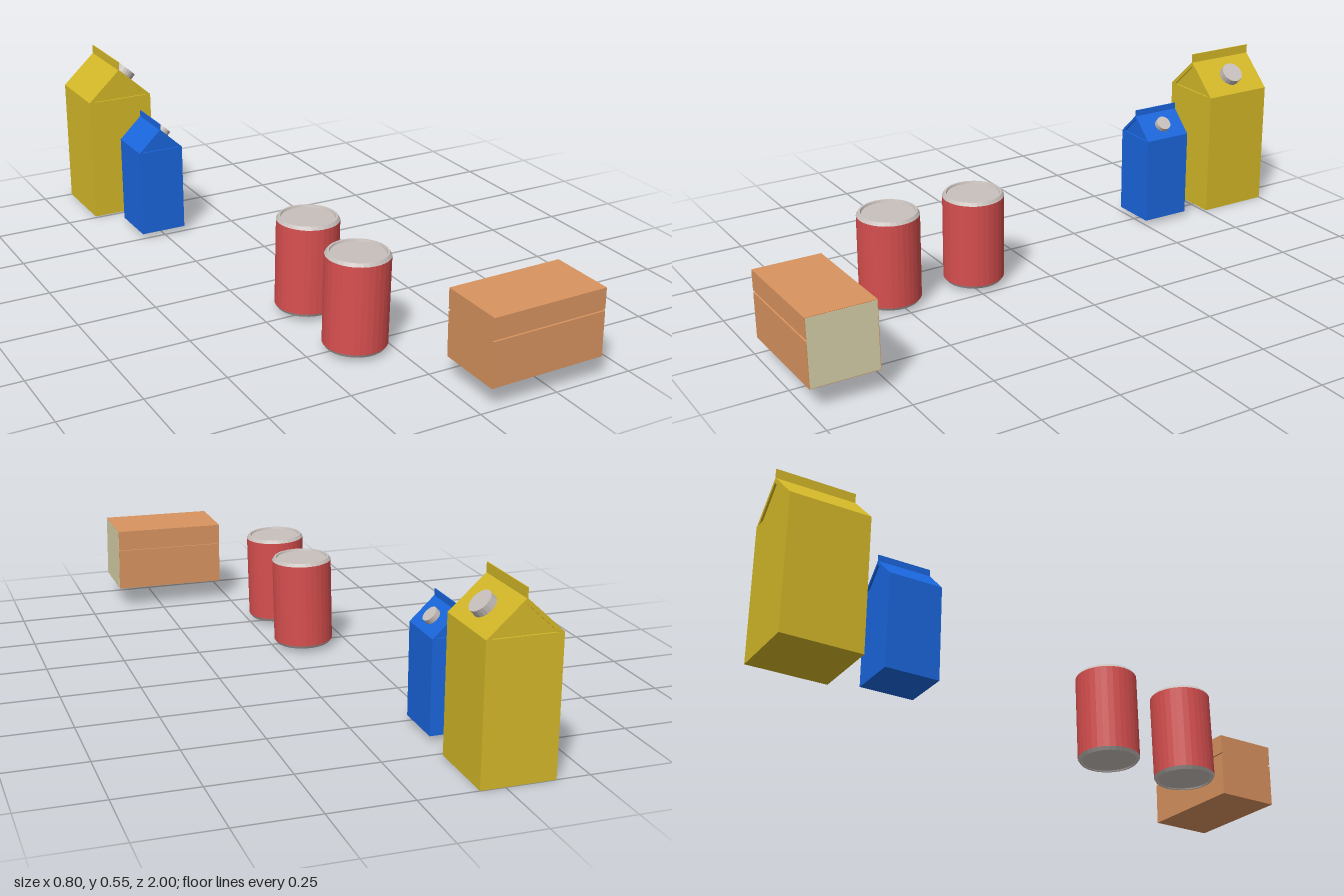
import * as THREE from 'three';

const mat = (color) => new THREE.MeshStandardMaterial({ color, flatShading: true, side: THREE.DoubleSide });
const metal = mat(0xc8c0bc);

function add(parent, name, geometry, material, x = 0, y = 0, z = 0) {
  const mesh = new THREE.Mesh(geometry, material);
  mesh.name = name;
  mesh.position.set(x, y, z);
  parent.add(mesh);
  return mesh;
}

// Extrude a list of [x, y] points, centred along z
function prism(points, depth) {
  const shape = new THREE.Shape(points.map(([x, y]) => new THREE.Vector2(x, y)));
  return new THREE.ExtrudeGeometry(shape, { depth, bevelEnabled: false }).translate(0, 0, -depth / 2);
}

// Gable-top carton: w/d footprint, h wall height, roof rise, fin height, cap radius
function carton(name, color, { w, d, h, rise, fin, cap, capAt }) {
  const g = new THREE.Group();
  g.name = name;
  const m = mat(color), a = w / 2, t = w * 0.08, drop = t * rise / a;
  add(g, 'cartonBody', new THREE.BoxGeometry(w, h, d), m, 0, h / 2, 0);
  // folded-in gable ends under the roof panels
  add(g, 'gable', prism([[-a + t, 0], [a - t, 0], [0, rise - drop]], d - 0.012), m, 0, h, 0);
  add(g, 'roof', prism([[-a, 0], [-a + t, 0], [0, rise - drop], [a - t, 0], [a, 0], [0, rise]], d), m, 0, h, 0);
  add(g, 'topFin', new THREE.BoxGeometry(0.003, fin + 0.01, d), m, 0, h + rise + fin / 2 - 0.005, 0);
  // screw cap standing on the right-hand slope
  const slope = Math.atan2(rise, a), tall = cap * 0.65;
  const normal = new THREE.Vector2(Math.sin(slope), Math.cos(slope)).multiplyScalar(tall / 2);
  const c = add(g, 'screwCap', new THREE.CylinderGeometry(cap, cap, tall, 20), metal,
    a * capAt + normal.x, h + rise * (1 - capAt) + normal.y, 0);
  c.rotation.z = -slope;
  return g;
}

// Food can with chamfered metal ends and a recessed lid
function can() {
  const g = new THREE.Group();
  g.name = 'can';
  const r = 0.096, n = 32;
  const lathe = (pts) => new THREE.LatheGeometry(pts.map(([x, y]) => new THREE.Vector2(x, y)), n);
  add(g, 'canBody', new THREE.CylinderGeometry(r, r, 0.27, n, 1, true), mat(0xd84f4f), 0, 0.145, 0);
  add(g, 'canLid', lathe([[r, 0.28], [0.089, 0.29], [0.083, 0.29], [0.081, 0.284], [0, 0.284]]), metal);
  add(g, 'canBase', lathe([[0, 0.004], [0.083, 0.004], [0.085, 0], [0.089, 0], [r, 0.01]]), metal);
  return g;
}

// Box with a grooved lid line along both long sides and a pale end
function groovedBox() {
  const g = new THREE.Group();
  g.name = 'lyingBox';
  const brown = mat(0xd8935f);
  const w = 0.367, d = 0.21;
  add(g, 'boxBottom', new THREE.BoxGeometry(w, 0.139, d), brown, 0, 0.0695, 0);
  add(g, 'boxCore', new THREE.BoxGeometry(w, 0.03, d - 0.012), brown, 0, 0.142, 0);
  add(g, 'boxTop', new THREE.BoxGeometry(w, 0.063, d), brown, 0, 0.1775, 0);
  add(g, 'paleEnd', new THREE.BoxGeometry(0.002, 0.205, d - 0.004), mat(0xd8d2aa), w / 2, 0.1045, 0);
  return g;
}

export function createModel() {
  const model = new THREE.Group();
  model.name = 'groceries';

  const large = carton('largeCarton', 0xd4b828,
    { w: 0.222, d: 0.24, h: 0.415, rise: 0.102, fin: 0.028, cap: 0.037, capAt: 0.53 });
  large.position.set(-0.288, 0, -0.88);

  const small = carton('smallCarton', 0x1a66dd,
    { w: 0.152, d: 0.165, h: 0.288, rise: 0.072, fin: 0.019, cap: 0.025, capAt: 0.52 });
  small.position.set(-0.254, 0.017, -0.582);
  model.add(large, small);

  for (const z of [0.225, 0.517]) {
    const c = can();
    c.position.set(-0.102, 0.015, z);
    c.rotation.z = -0.025;
    model.add(c);
  }

  const box = groovedBox();
  box.position.set(0.215, 0.07, 0.895);
  box.rotation.z = 0.012;
  model.add(box);
  return model;
}
